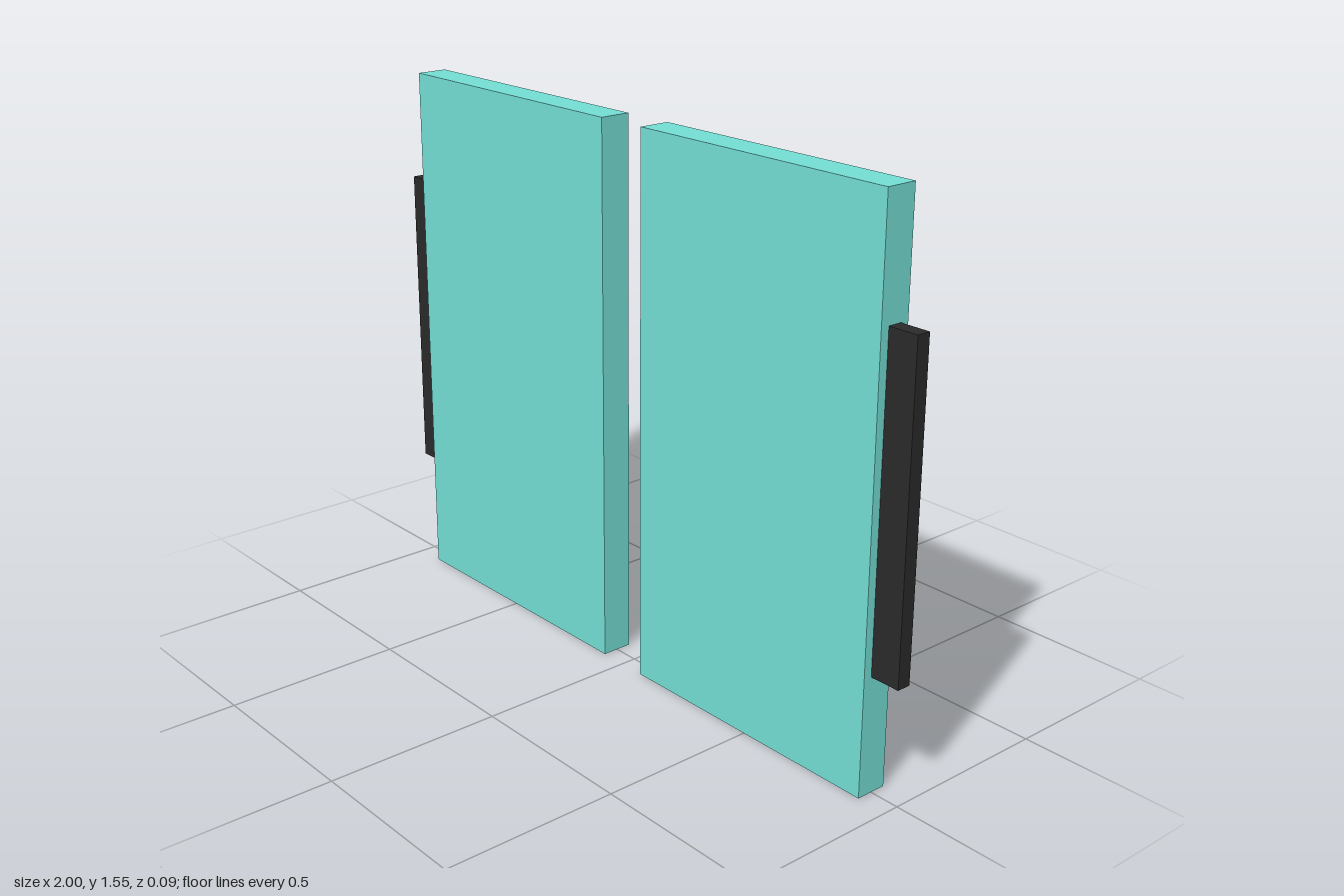
import * as THREE from 'three';

const panelMaterial = new THREE.MeshStandardMaterial({ color: 0x74ddd4 });
const handleMaterial = new THREE.MeshStandardMaterial({ color: 0x2a2a2a });

// Box given by its minimum and maximum corners in x and y, centred on z = 0
function slab(name, x0, x1, y0, y1, depth, material) {
  const mesh = new THREE.Mesh(new THREE.BoxGeometry(x1 - x0, y1 - y0, depth), material);
  mesh.position.set((x0 + x1) / 2, (y0 + y1) / 2, 0);
  mesh.name = name;
  return mesh;
}

export function createModel() {
  const model = new THREE.Group();
  model.name = 'doublePanels';

  // One panel with an upright bar on its outer edge, on each side
  for (const [label, side] of [['left', 1], ['right', -1]]) {
    const half = new THREE.Group();
    half.name = `${label}Half`;
    const panel = slab(`${label}Panel`, 0.077, 0.913, 0, 1.55, 0.09, panelMaterial);
    const handle = slab(`${label}EdgeBar`, 0.913, 1, 0.33, 1.225, 0.04, handleMaterial);
    for (const part of [panel, handle]) {
      part.position.x *= side;
      half.add(part);
    }
    model.add(half);
  }
  return model;
}
